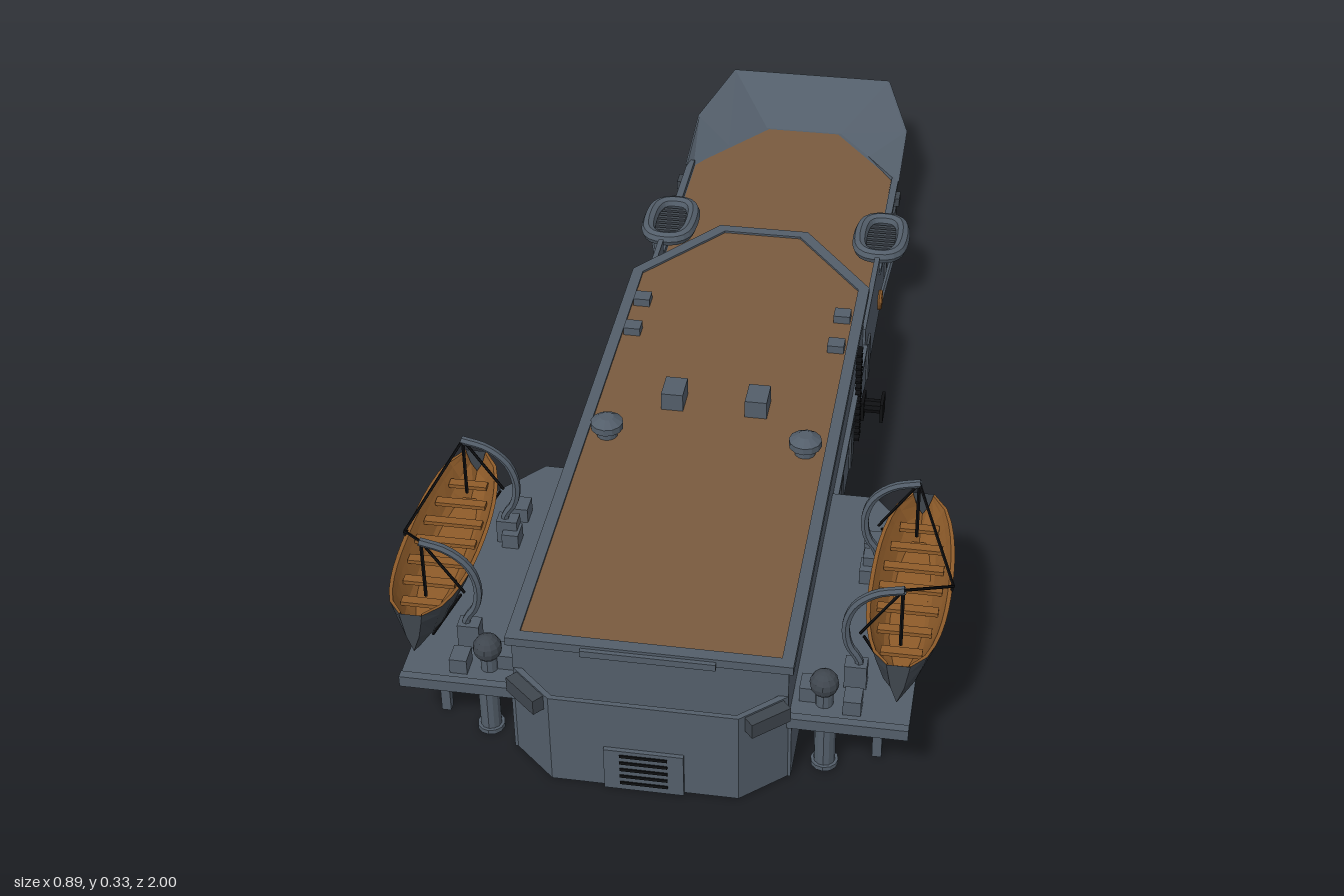
import * as THREE from 'three';

const mat = (name, color) => {
  const m = new THREE.MeshStandardMaterial({ color, side: THREE.DoubleSide, flatShading: true });
  m.name = name;
  return m;
};
const V = (x, y, z) => new THREE.Vector3(x, y, z);

export function createModel() {
  const grey = mat('steel grey', 0x535e6a);
  const dark = mat('dark grey', 0x3f464e);
  const deck = mat('deck planking', 0x7a5b3f);
  const wood = mat('boat wood', 0x8f5c2a);
  const black = mat('black', 0x0e0f11);
  const model = new THREE.Group();
  model.name = 'deckhouse';

  const add = (name, geo, m, x = 0, y = 0, z = 0) => {
    const mesh = new THREE.Mesh(geo, m);
    mesh.name = name;
    mesh.position.set(x, y, z);
    model.add(mesh);
    return mesh;
  };
  // box given by centre x, z and bottom / top height
  const box = (name, m, x, z, y0, y1, w, d) =>
    add(name, new THREE.BoxGeometry(w, y1 - y0, d), m, x, (y0 + y1) / 2, z);
  const cyl = (name, m, x, z, y0, y1, r0, r1 = r0, n = 12) =>
    add(name, new THREE.CylinderGeometry(r1, r0, y1 - y0, n), m, x, (y0 + y1) / 2, z);
  // vertical prism over an outline of [x, z] pairs
  const prism = (name, m, pts, y0, y1, hole) => {
    const shape = new THREE.Shape(pts.map(p => new THREE.Vector2(p[0], p[1])));
    if (hole) shape.holes.push(new THREE.Path(hole.map(p => new THREE.Vector2(p[0], p[1]))));
    const g = new THREE.ExtrudeGeometry(shape, { depth: y1 - y0, bevelEnabled: false });
    g.rotateX(Math.PI / 2).translate(0, y1, 0);
    return add(name, g, m);
  };
  const bar = (name, m, a, b, r, n = 5) => {
    const mesh = add(name, new THREE.CylinderGeometry(r, r, a.distanceTo(b), n), m);
    mesh.position.copy(a).add(b).multiplyScalar(0.5);
    mesh.quaternion.setFromUnitVectors(V(0, 1, 0), b.clone().sub(a).normalize());
    return mesh;
  };
  // sheet through rows of points
  const loft = (name, m, rows) => {
    const n = rows[0].length, idx = [];
    for (let i = 0; i < rows.length - 1; i++)
      for (let j = 0; j < n - 1; j++) {
        const a = i * n + j;
        idx.push(a, a + 1, a + n, a + 1, a + n + 1, a + n);
      }
    const g = new THREE.BufferGeometry().setFromPoints(rows.flat());
    g.setIndex(idx);
    g.computeVertexNormals();
    return add(name, g, m);
  };
  const mirror = h => [...h, ...h.map(([x, z]) => [-x, z]).reverse()];
  const hull = d => mirror([[0.22 - d, 0.93 - d], [0.22 - d, -0.7], [0.08 - d * 0.6, -0.88 + d]]);
  const house = d => mirror([[0.215 - d, 0.93 - d], [0.215 - d, -0.1 + d * 0.4], [0.08 - d * 0.6, -0.27 + d]]);

  // hollow lower hull and upper house, with their decks
  prism('lowerWall', grey, hull(0), 0, 0.112, hull(0.015));
  prism('lowerDeck', deck, mirror([[0.207, -0.08], [0.207, -0.7], [0.075, -0.868]]), 0.104, 0.113);
  prism('upperWall', grey, house(0), 0.105, 0.225, house(0.012));
  prism('upperRim', grey, house(-0.008), 0.22, 0.235, house(0.012));
  prism('upperDeck', deck, house(0.011), 0.222, 0.231);
  for (const z of [-0.62, -0.42, -0.22, 0.12, 0.36, 0.52, 0.72])
    box('bulkhead', grey, 0, z, 0.005, z < -0.1 ? 0.104 : 0.15, 0.41, 0.03);

  // flared bow bulwark
  const strip = h => [...h, ...h.map(p => V(-p.x, p.y, p.z)).reverse()];
  const top = strip([V(0.225, 0.122, -0.68), V(0.225, 0.15, -0.84), V(0.17, 0.18, -1)]);
  const base = strip([V(0.21, 0.113, -0.69), V(0.15, 0.113, -0.785), V(0.08, 0.113, -0.872)]);
  const low = strip([V(0.22, 0.1, -0.69), V(0.152, 0.07, -0.787), V(0.08, 0.07, -0.882)]);
  const mid = strip([V(0.222, 0.11, -0.685), V(0.18, 0.115, -0.815), V(0.115, 0.125, -0.925)]);
  loft('bowInside', grey, [base, top.map(p => V(p.x * 0.985, p.y, p.z + 0.004))]);
  loft('bowOutside', grey, [low, mid, top]);
  loft('bowRim', grey, [top, top.map(p => V(p.x * 0.985, p.y, p.z + 0.004))]);
  for (const x of [-0.06, 0.06]) bar('bowBracket', dark, V(x, 0.03, -0.88), V(x, 0.125, -0.925), 0.006);

  // front screen and louvred vent
  prism('frontScreen', grey, [[0.215, 0.93], [0.147, 0.99], [-0.147, 0.99], [-0.215, 0.93],
    [-0.2, 0.93], [-0.143, 0.982], [0.143, 0.982], [0.2, 0.93]], 0, 0.168);
  box('ventHousing', grey, 0, 0.96, 0, 0.08, 0.125, 0.07);
  box('ventFrame', grey, 0, 0.993, 0, 0.08, 0.125, 0.008);
  for (let i = 0; i < 5; i++) box('louvre', black, 0, 0.9975, 0.012 + i * 0.014, 0.017 + i * 0.014, 0.075, 0.003);
  box('frontLintel', grey, 0, 0.938, 0.218, 0.23, 0.21, 0.014);

  for (const s of [1, -1]) {
    const P = (x, y, z) => V(s * x, y, z);
    // bulwark beside the lower deck
    box('bulwark', grey, s * 0.216, -0.52, 0.11, 0.122, 0.014, 0.36);
    box('bulwarkPanel', grey, s * 0.215, -0.215, 0.11, 0.15, 0.01, 0.25);
    box('waist', grey, s * 0.219, 0.36, 0.105, 0.115, 0.012, 0.9);
    const visor = box('visor', dark, s * 0.187, 0.965, 0.138, 0.165, 0.07, 0.025);
    visor.rotation.y = s * 0.72;

    // roof and deck fittings
    box('roofLocker', grey, s * 0.073, 0.295, 0.23, 0.264, 0.038, 0.052);
    box('deckLocker', grey, s * 0.073, -0.325, 0.112, 0.16, 0.038, 0.055);
    for (const z of [0, 0.095]) box('roofHatch', grey, s * 0.185, z, 0.23, 0.246, 0.03, 0.028);
    for (const [z, y] of [[0.405, 0.231], [-0.2, 0.112]]) {
      cyl('ventStem', grey, s * 0.17, z, y, y + 0.02, 0.018);
      cyl('ventBrim', grey, s * 0.17, z, y + 0.016, y + 0.028, 0.028);
      cyl('ventCap', grey, s * 0.17, z, y + 0.028, y + 0.038, 0.028, 0.012);
    }

    // life raft: oval float ring with slatted floor
    const ring = [[0.02, -0.065], [0.037, -0.045], [0.037, 0.045], [0.02, 0.065],
      [-0.02, 0.065], [-0.037, 0.045], [-0.037, -0.045], [-0.02, -0.065]]
      .map(([x, z]) => P(0.213 + x, 0.133, -0.44 + z));
    add('raftRing', new THREE.TubeGeometry(new THREE.CatmullRomCurve3(ring, true, 'centripetal'), 32, 0.014, 8, true), grey);
    for (let i = -3; i <= 3; i++) box('raftSlat', dark, s * 0.213, -0.44 + i * 0.015, 0.125, 0.131, 0.06, 0.008);
    for (const z of [-0.39, -0.54]) bar('raftStrut', grey, P(0.222, 0.03, z + 0.02), P(0.24, 0.12, z), 0.005);

    // wall fittings: doors, windows, life ring
    for (const z of [-0.47, -0.14, 0.14, 0.3]) box('door', dark, s * 0.221, z, 0.012, 0.095, 0.007, 0.038);
    box('window', dark, s * 0.221, -0.62, 0.055, 0.09, 0.008, 0.04);
    const buoy = add('lifeRing', new THREE.TorusGeometry(0.016, 0.005, 6, 16), wood, s * 0.223, 0.048, -0.345);
    buoy.rotation.y = Math.PI / 2;
    for (const z of [-0.63, -0.545]) box('cleat', dark, s * 0.226, z, 0.1, 0.118, 0.012, 0.03);

    // ladders
    for (let i = 0; i < 14; i++) box('rung', black, s * 0.224, 0.056, 0.01 + i * 0.0145, 0.015 + i * 0.0145, 0.01, 0.03);
    for (const d of [-0.02, 0.02]) bar('stairRail', dark, P(0.25 + d, 0, 0.35), P(0.25 + d, 0.115, 0.385), 0.004);
    for (let i = 0; i < 7; i++) box('stairTread', black, s * 0.25, 0.352 + i * 0.005, 0.01 + i * 0.015, 0.015 + i * 0.015, 0.04, 0.018);

    // cable reels
    for (const [x, z] of [[0.245, -0.02], [0.29, 0.7], [0.165, -0.85]]) {
      const reel = add('reel', new THREE.CylinderGeometry(0.014, 0.014, 0.04, 10), black, s * x, 0.027, z);
      reel.rotation.z = Math.PI / 2;
      for (const d of [-0.018, 0.018]) box('reelCheek', black, s * (x + d), z, 0.006, 0.046, 0.006, 0.045);
    }

    // boat platform on braced legs
    prism('platform', grey, [[0.21, 0.37], [0.29, 0.37], [0.4, 0.5], [0.4, 0.93], [0.21, 0.93]]
      .map(([x, z]) => [s * x, z]), 0.106, 0.121);
    for (const z of [0.55, 0.63, 0.75, 0.86]) {
      box('leg', grey, s * 0.348, z, 0, 0.108, 0.015, 0.015);
      box('crossBeam', grey, s * 0.295, z, 0.09, 0.108, 0.15, 0.012);
    }
    for (const [a, b] of [[0.55, 0.63], [0.75, 0.86]]) {
      bar('brace', grey, P(0.348, 0.01, a), P(0.348, 0.095, b), 0.004);
      bar('brace', grey, P(0.348, 0.095, a), P(0.348, 0.01, b), 0.004);
    }
    box('platformEdge', grey, s * 0.305, 0.925, 0.104, 0.124, 0.19, 0.014);
    cyl('column', grey, s * 0.268, 0.89, 0, 0.106, 0.017);
    cyl('columnFoot', grey, s * 0.268, 0.89, 0, 0.008, 0.022);
    cyl('cowlStem', grey, s * 0.265, 0.885, 0.12, 0.16, 0.014);
    add('cowl', new THREE.SphereGeometry(0.023, 12, 8), dark, s * 0.265, 0.167, 0.89);
    for (const [x, z] of [[0.24, 0.87], [0.3, 0.58], [0.3, 0.51], [0.31, 0.89]])
      box('platformLocker', grey, s * x, z, 0.12, 0.148, 0.028, 0.035);

    // boat shell, lining and thwarts
    const section = (t, k, lift) => {
      const w = 0.066 * Math.pow(1 - Math.pow(Math.abs(t), 2.4), 0.6) * 0.72 + 0.018;
      const keel = 0.126 + 0.035 * Math.pow(Math.abs(t), 4) + lift;
      const gun = 0.222 + 0.014 * t * t;
      return [-1, -0.88, -0.58, 0, 0.58, 0.88, 1].map(u =>
        P(0.378 + u * w * k, keel + (gun - keel) * Math.pow(Math.abs(u), 1.7), 0.7 + 0.21 * t * (k < 1 ? 0.98 : 1)));
    };
    const ts = Array.from({ length: 15 }, (_, i) => -1 + i / 7);
    const outer = ts.map(t => section(t, 1.0, 0)), inner = ts.map(t => section(t, 0.9, 0.035));
    loft('boatHull', dark, outer);
    loft('boatLining', wood, inner);
    for (const j of [0, 6]) loft('gunwale', wood, [outer.map(r => r[j]), inner.map(r => r[j])]);
    for (const e of [0, 14]) loft('boatEnd', dark, [outer[e], outer[e].map(p => V(p.x, outer[e][0].y, p.z))]);
    for (let i = -3; i <= 3; i++)
      box('thwart', wood, s * 0.378, 0.7 + i * 0.05, 0.206, 0.213, 0.1 - 0.004 * i * i, 0.016);
    box('boatFloor', wood, s * 0.378, 0.7, 0.175, 0.181, 0.055, 0.3);

    // davits, falls and lashings
    for (const [z, o] of [[0.571, 0.834], [0.834, 0.571]]) {
      const arc = new THREE.CatmullRomCurve3([P(0.312, 0.12, z), P(0.312, 0.17, z), P(0.295, 0.2, z),
        P(0.29, 0.24, z), P(0.303, 0.28, z), P(0.335, 0.308, z), P(0.378, 0.32, z)]);
      add('davit', new THREE.TubeGeometry(arc, 20, 0.007, 6), grey);
      box('davitFoot', grey, s * 0.308, z, 0.12, 0.165, 0.035, 0.026);
      bar('fall', black, P(0.375, 0.32, z), P(0.375, 0.21, z), 0.003);
      const mid = P(0.445, 0.225, (z + o) / 2);
      bar('lashing', black, P(0.375, 0.32, z), mid, 0.0025);
      bar('lashing', black, mid, P(0.385, 0.125, o), 0.0025);
      bar('lashing', black, P(0.375, 0.32, z), P(0.312, 0.225, z), 0.0025);
      bar('lashing', black, P(0.318, 0.22, z), P(0.37, 0.13, z), 0.0025);
    }
  }
  return model;
}
